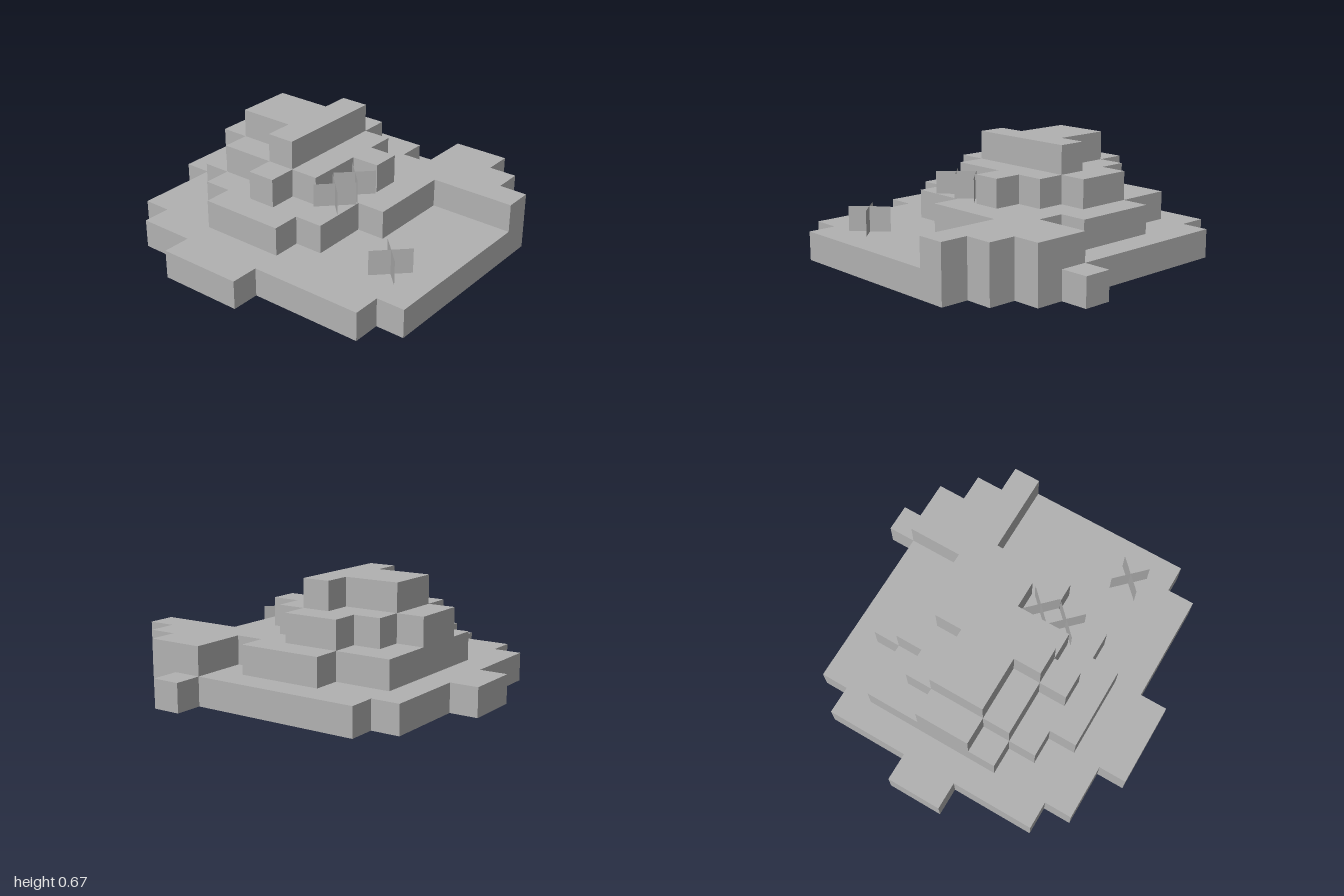
import * as THREE from 'three';
import { mergeGeometries } from 'three/addons/utils/BufferGeometryUtils.js';

const CELL = 1 / 6;

// Terrace height of each cell: rows run back to front, columns from -x to +x
const HEIGHTS = [
  '000001100000',
  '001111111100',
  '011123322110',
  '011234432110',
  '112234433210',
  '112344443210',
  '112233332210',
  '011222322110',
  '011112222221',
  '011111112220',
  '011111112200',
  '001111112000',
];

const heightAt = (col, row) => Number(HEIGHTS[row]?.[col] ?? 0);

// One-sided rectangle turned about x or y and moved into place
function panel(width, height, rotX, rotY, x, y, z) {
  return new THREE.PlaneGeometry(width, height).rotateX(rotX).rotateY(rotY).translate(x, y, z);
}

// Flat top of every cell on one terrace
function terraceTops(level) {
  const parts = [];
  HEIGHTS.forEach((line, row) => {
    for (let col = 0; col < line.length; col++) {
      if (heightAt(col, row) !== level) continue;
      parts.push(panel(CELL, CELL, -Math.PI / 2, 0,
        (col - 5.5) * CELL, level * CELL, (row - 5.5) * CELL));
    }
  });
  return mergeGeometries(parts);
}

// Upright steps wherever a cell of this terrace stands above its neighbour
function terraceWalls(level) {
  const parts = [];
  HEIGHTS.forEach((line, row) => {
    for (let col = 0; col < line.length; col++) {
      if (heightAt(col, row) !== level) continue;
      for (const [dx, dz] of [[1, 0], [-1, 0], [0, 1], [0, -1]]) {
        const low = heightAt(col + dx, row + dz);
        if (low >= level) continue;
        parts.push(panel(CELL, (level - low) * CELL, 0, Math.atan2(dx, dz),
          (col - 5.5 + dx / 2) * CELL,
          (level + low) / 2 * CELL,
          (row - 5.5 + dz / 2) * CELL));
      }
    }
  });
  return mergeGeometries(parts);
}

export function createModel() {
  const model = new THREE.Group();
  model.name = 'terracedHill';

  const stone = new THREE.MeshStandardMaterial({ color: 0xb2b2b2, side: THREE.DoubleSide });
  stone.name = 'stone grey';

  const add = (parent, name, geometry) => {
    const mesh = new THREE.Mesh(geometry, stone);
    mesh.name = name;
    parent.add(mesh);
  };

  // Hollow stepped hill, open underneath
  for (let level = 1; level <= 4; level++) {
    const terrace = new THREE.Group();
    terrace.name = `terrace${level}`;
    add(terrace, 'terraceTop', terraceTops(level));
    add(terrace, 'terraceWalls', terraceWalls(level));
    model.add(terrace);
  }

  // Small plants made of two crossed diagonal sheets
  const plants = [
    { x: -0.436, z: 0.75, level: 1, height: 0.145 },
    { x: -0.27, z: 0.25, level: 2, height: 0.135 },
    { x: -0.1, z: 0.255, level: 2, height: 0.142 },
  ];
  for (const { x, z, level, height } of plants) {
    const plant = new THREE.Group();
    plant.name = 'plant';
    plant.position.set(x, level * CELL, z);
    for (const turn of [Math.PI / 4, -Math.PI / 4]) {
      add(plant, 'plantSheet', panel(CELL * Math.SQRT2, height, 0, turn, 0, height / 2, 0));
    }
    model.add(plant);
  }

  return model;
}
